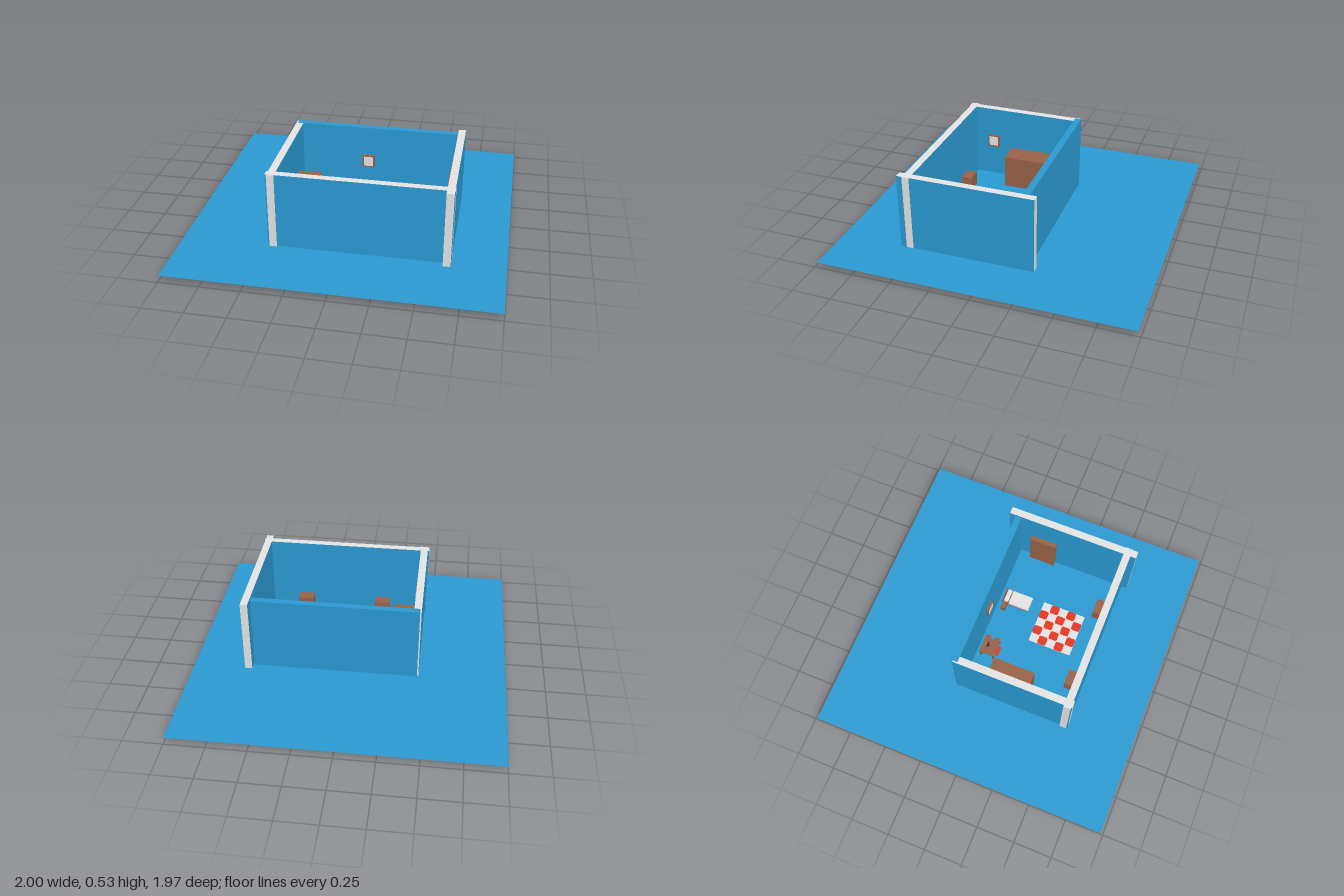
import * as THREE from 'three';

export function createModel() {
  const root = new THREE.Group();
  root.name = 'furnishedRoom';
  const mat = (name, color, extra = {}) => {
    const m = new THREE.MeshStandardMaterial({ color, ...extra });
    m.name = name;
    return m;
  };
  const blue = mat('blue', 0x2a99d0, { side: THREE.DoubleSide });
  const white = mat('white', 0xe3e3e3);
  const brown = mat('brown', 0x986146);
  const red = mat('red', 0xe6341f);
  const dark = mat('dark', 0x2a2422);
  const G = 0.035; // floor level; the walls reach below it
  const F = G + 0.001; // underside of the furniture

  // box given by its x, y and z ranges
  const box = (parent, name, m, [x0, x1], [y0, y1], [z0, z1]) => {
    const mesh = new THREE.Mesh(new THREE.BoxGeometry(x1 - x0, y1 - y0, z1 - z0), m);
    mesh.position.set((x0 + x1) / 2, (y0 + y1) / 2, (z0 + z1) / 2);
    mesh.name = name;
    parent.add(mesh);
    return mesh;
  };
  const group = (name) => {
    const g = new THREE.Group();
    g.name = name;
    root.add(g);
    return g;
  };

  // ground sheet
  const ground = new THREE.Mesh(new THREE.PlaneGeometry(2, 1.965), blue);
  ground.rotation.x = -Math.PI / 2;
  ground.position.y = G;
  ground.name = 'ground';
  root.add(ground);

  // walls: blue broad faces, white tops and ends
  const alongX = [white, white, white, white, blue, blue];
  const alongZ = [blue, blue, white, white, white, white];
  const walls = group('walls');
  box(walls, 'frontWall', alongX, [-0.457, 0.671], [0, 0.528], [0.5, 0.546]);
  box(walls, 'backWall', blue, [-0.438, 0.613], [0, 0.529], [-0.238, -0.196]);
  box(walls, 'rightHandWall', alongZ, [-0.447, -0.4], [0, 0.528], [-0.23, 0.553]);
  box(walls, 'leftHandWall', alongZ, [0.621, 0.668], [0, 0.528], [-0.28, 0.583]);

  // chequered rug: white mat with thin red tiles whose corners are cut
  const rug = group('rug');
  const s = 0.0588, h = s / 2, c = h - 0.008;
  box(rug, 'rugMat', white, [0.016, 0.016 + 5 * s], [F, G + 0.006], [0.097, 0.097 + 5 * s]);
  const tile = new THREE.ShapeGeometry(new THREE.Shape(
    [[h, -c], [h, c], [c, h], [-c, h], [-h, c], [-h, -c], [-c, -h], [c, -h]]
      .map(([x, y]) => new THREE.Vector2(x, y))));
  tile.rotateX(-Math.PI / 2);
  for (let i = 0; i < 5; i++) {
    for (let j = 0; j < 5; j++) {
      if ((i + j) % 2 === 0) continue;
      const mesh = new THREE.Mesh(tile, red);
      mesh.position.set(0.016 + (i + 0.5) * s, G + 0.008, 0.097 + (j + 0.5) * s);
      mesh.name = 'redTile';
      rug.add(mesh);
    }
  }

  // large cupboard by the side wall
  box(root, 'cupboard', brown, [-0.396, -0.247], [F, 0.255], [-0.04, 0.24]);

  // low cabinets against the front wall
  for (const x of [-0.204, 0.331]) box(root, 'lowCabinet', brown, [x, x + 0.103], [F, 0.13], [0.432, 0.5]);

  // desk with legs, a small screen and a cup
  const desk = group('desk');
  box(desk, 'deskTop', brown, [-0.2, -0.07], [0.103, 0.111], [-0.17, -0.067]);
  for (const x of [-0.198, -0.084]) {
    for (const z of [-0.168, -0.081]) box(desk, 'deskLeg', brown, [x, x + 0.012], [F, 0.103], [z, z + 0.012]);
  }
  box(desk, 'screenFoot', dark, [-0.147, -0.133], [0.111, 0.115], [-0.136, -0.124]);
  box(desk, 'screen', dark, [-0.157, -0.123], [0.115, 0.133], [-0.134, -0.129]);
  const cup = new THREE.Mesh(new THREE.CylinderGeometry(0.013, 0.013, 0.018, 16), blue);
  cup.position.set(-0.086, 0.12, -0.118);
  cup.name = 'cup';
  desk.add(cup);

  // stool tucked under the desk
  const stool = group('stool');
  box(stool, 'stoolSeat', red, [-0.172, -0.114], [0.07, 0.08], [-0.1, -0.048]);
  for (const x of [-0.168, -0.124]) {
    for (const z of [-0.096, -0.06]) box(stool, 'stoolLeg', brown, [x, x + 0.006], [F, 0.07], [z, z + 0.006]);
  }

  // bed with headboard, pillows and bedside table
  const bed = group('bed');
  box(bed, 'bedFrame', brown, [0.202, 0.292], [F, 0.055], [-0.16, 0.015]);
  box(bed, 'mattress', white, [0.2, 0.294], [0.055, 0.08], [-0.122, 0.019]);
  box(bed, 'mattressHead', brown, [0.2, 0.294], [0.055, 0.075], [-0.158, -0.122]);
  box(bed, 'headboard', brown, [0.198, 0.294], [F, 0.11], [-0.167, -0.159]);
  for (const x of [0.204, 0.249]) box(bed, 'pillow', white, [x, x + 0.041], [0.075, 0.09], [-0.157, -0.128]);
  box(root, 'bedsideTable', brown, [0.151, 0.196], [F, 0.085], [-0.16, -0.132]);

  // door with a round knob
  const door = group('door');
  box(door, 'doorPanel', brown, [0.591, 0.621], [F, 0.32], [-0.122, 0.056]);
  const knob = new THREE.Mesh(new THREE.SphereGeometry(0.006, 12, 8), brown);
  knob.position.set(0.589, 0.165, 0.046);
  knob.name = 'doorKnob';
  door.add(knob);

  // framed pictures on the back and side walls
  const framed = (x, z, turn) => {
    const g = group('framedPicture');
    box(g, 'pictureFrame', brown, [-0.04, 0.04], [-0.042, 0.042], [0, 0.015]);
    box(g, 'pictureFace', white, [-0.031, 0.031], [-0.033, 0.033], [0.015, 0.016]);
    g.position.set(x, 0.291, z);
    g.rotation.y = turn;
  };
  framed(0.042, -0.196, 0);
  framed(-0.402, 0.372, Math.PI / 2);

  return root;
}
